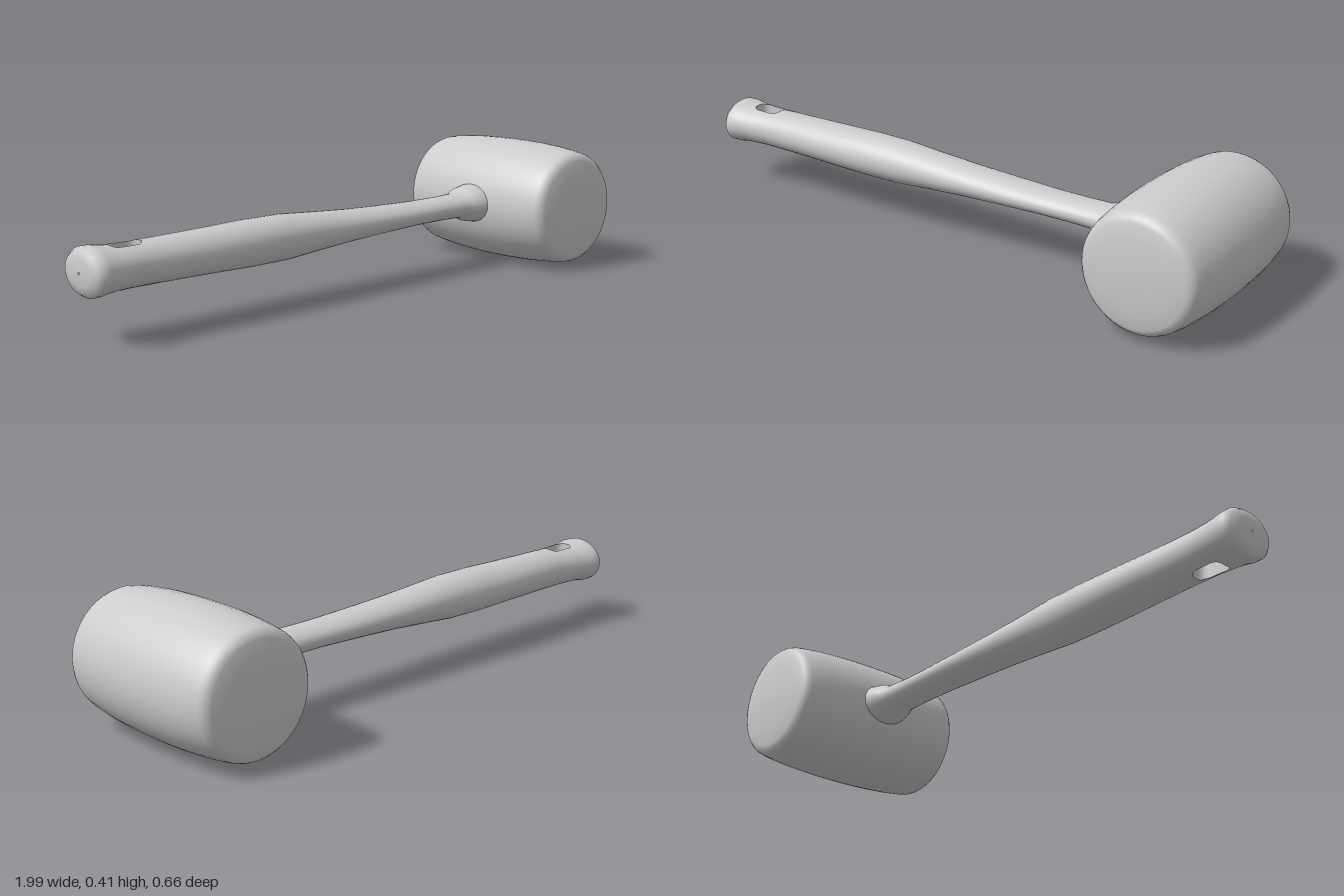
import * as THREE from 'three';

const material = new THREE.MeshStandardMaterial({ color: 0xcccccc });
const SIDES = 32, TOP = 8, SLOT = 2; // slot spans TOP +- SLOT columns

// Handle sections: distance along the handle, half width (z), half height (y)
const sections = [
  [-1.778, 0.004, 0.003], [-1.776, 0.05, 0.038], [-1.77, 0.08, 0.062], [-1.755, 0.094, 0.073],
  [-1.735, 0.095, 0.073], [-1.71, 0.09, 0.069],
  [-1.68, 0.086, 0.066], [-1.66, 0.084, 0.066], [-1.629, 0.081, 0.065], [-1.598, 0.079, 0.065], [-1.578, 0.078, 0.066],
  [-1.53, 0.077, 0.066], [-1.42, 0.08, 0.067], [-1.3, 0.083, 0.069], [-1.185, 0.083, 0.072], [-1.05, 0.081, 0.071],
  [-0.92, 0.076, 0.061], [-0.78, 0.073, 0.051], [-0.63, 0.07, 0.044], [-0.48, 0.066, 0.039], [-0.35, 0.064, 0.039],
  [-0.275, 0.066, 0.041], [-0.255, 0.071, 0.049], [-0.235, 0.08, 0.058], [-0.2, 0.087, 0.064], [-0.14, 0.092, 0.066],
];
const slotStart = 6, slotEnd = 10;

function sectionPoint(i, j) {
  const [s, w, h] = sections[i];
  const a = (j / SIDES) * Math.PI * 2;
  let x = s, z = Math.cos(a) * w;
  // round the corners of the hanging slot
  const column = j > SIDES / 2 ? SIDES - j : j;
  if (Math.abs(column - TOP) === SLOT && (i === slotStart || i === slotEnd)) {
    x += i === slotStart ? 0.008 : -0.008;
    z *= 0.8;
  }
  return [x, Math.sin(a) * h, z];
}

function buildGeometry(positions, indices) {
  const g = new THREE.BufferGeometry();
  g.setAttribute('position', new THREE.Float32BufferAttribute(positions, 3));
  g.setIndex(indices);
  g.computeVertexNormals();
  return g;
}

function handleGeometry() {
  const positions = [], indices = [];
  const inSlot = (i, j) => i >= slotStart && i < slotEnd &&
    [TOP, SIDES - TOP].some(c => j >= c - SLOT && j < c + SLOT);
  for (let i = 0; i < sections.length; i++) {
    for (let j = 0; j < SIDES; j++) positions.push(...sectionPoint(i, j));
  }
  for (let i = 0; i < sections.length - 1; i++) {
    for (let j = 0; j < SIDES; j++) {
      if (inSlot(i, j)) continue;
      const k = (j + 1) % SIDES;
      const a = i * SIDES + j, b = a + SIDES, c = (i + 1) * SIDES + k, d = i * SIDES + k;
      indices.push(a, b, c, a, c, d);
    }
  }
  return buildGeometry(positions, indices);
}

// Inner wall of the slot, joining the top opening to the bottom one
function slotGeometry() {
  const loop = [];
  for (let i = slotStart; i < slotEnd; i++) loop.push([i, TOP - SLOT]);
  for (let j = TOP - SLOT; j < TOP + SLOT; j++) loop.push([slotEnd, j]);
  for (let i = slotEnd; i > slotStart; i--) loop.push([i, TOP + SLOT]);
  for (let j = TOP + SLOT; j > TOP - SLOT; j--) loop.push([slotStart, j]);
  const positions = [], indices = [], n = loop.length;
  loop.forEach(([i, j], k) => {
    positions.push(...sectionPoint(i, j), ...sectionPoint(i, SIDES - j));
    const a = 2 * k, b = 2 * ((k + 1) % n);
    indices.push(a, b, b + 1, a, b + 1, a + 1);
  });
  return buildGeometry(positions, indices);
}

// Barrel-shaped head with softly domed striking faces
function headGeometry() {
  const half = [
    [0.206, 0], [0.2055, 0.06], [0.203, 0.13], [0.198, 0.2], [0.192, 0.25], [0.187, 0.279],
    [0.182, 0.291], [0.173, 0.301], [0.16, 0.307], [0.12, 0.315], [0.06, 0.32], [0, 0.322],
  ];
  const lower = half.slice(1).reverse().map(([r, y]) => [r, -y]);
  const profile = [...lower, ...half].map(([r, y]) => new THREE.Vector2(r, y));
  return new THREE.LatheGeometry(profile, 48).rotateX(Math.PI / 2);
}

export function createModel() {
  const model = new THREE.Group();
  model.name = 'mallet';

  const head = new THREE.Mesh(headGeometry(), material);
  head.name = 'head';
  head.rotation.y = THREE.MathUtils.degToRad(-8.2);

  const handle = new THREE.Group();
  handle.name = 'handle';
  handle.rotation.y = THREE.MathUtils.degToRad(-7.2);
  const grip = new THREE.Mesh(handleGeometry(), material);
  grip.name = 'handleShaft';
  const slotMaterial = material.clone();
  slotMaterial.side = THREE.DoubleSide;
  const slot = new THREE.Mesh(slotGeometry(), slotMaterial);
  slot.name = 'hangingSlot';
  handle.add(grip, slot);
  handle.position.y = 0.003;

  model.add(head, handle);
  model.children.forEach(part => {
    part.position.x += 0.775;
    part.position.y += 0.206;
  });
  return model;
}
